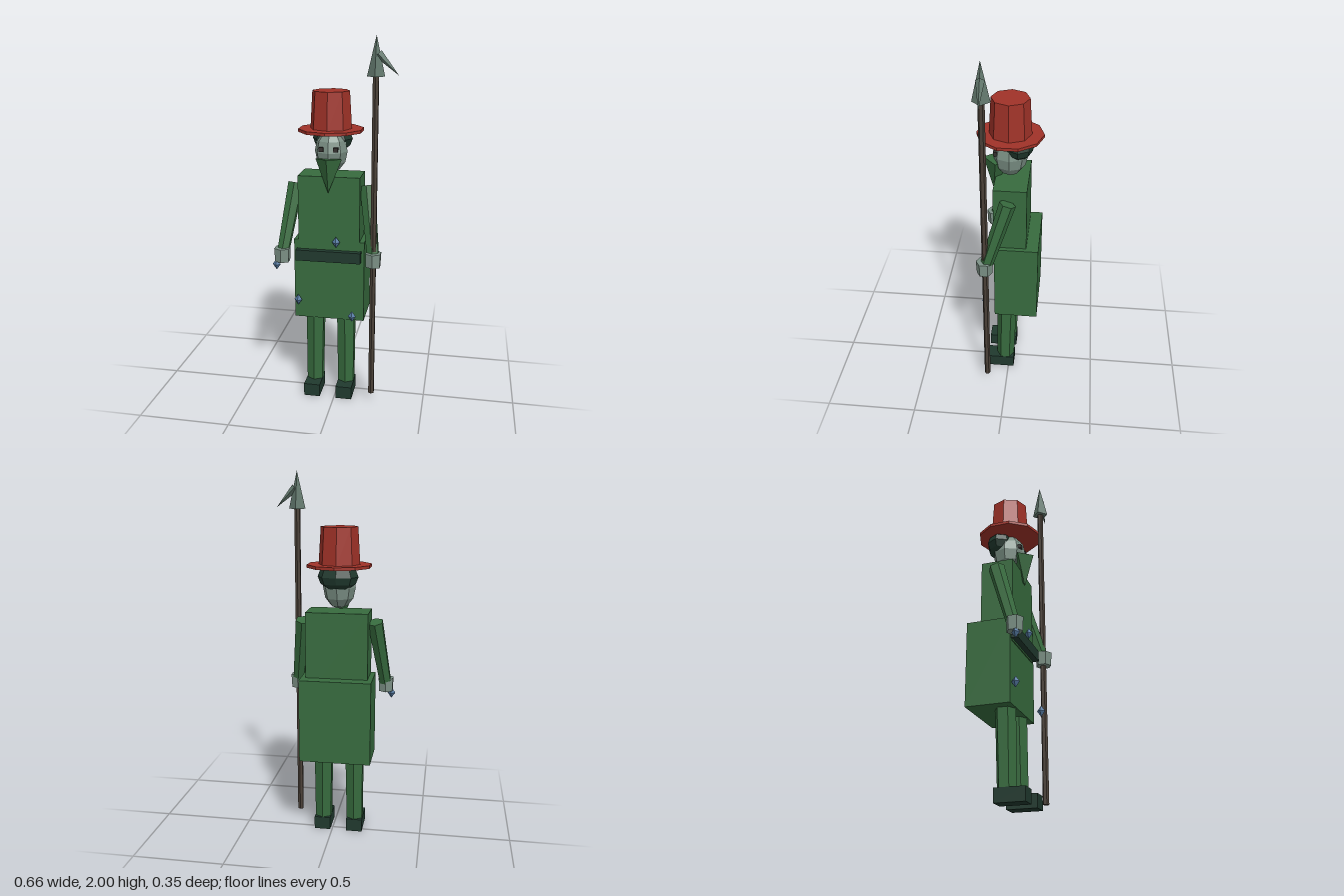
import * as THREE from 'three';

const CX = -0.035; // the figure's own middle line

function flat(name, color) {
  const m = new THREE.MeshStandardMaterial({ color, flatShading: true });
  m.name = name;
  return m;
}

export function createModel() {
  const model = new THREE.Group();
  model.name = 'hattedGuard';

  const coat = flat('coatGreen', 0x376b3e);
  const dark = flat('darkGreen', 0x20392e);
  const red = flat('hatRed', 0xa03228);
  const skin = flat('paleSkin', 0x7c9186);
  const steel = flat('spearSteel', 0x62786d);
  const wood = flat('shaftWood', 0x4a4037);
  const eyeDark = flat('eyeDark', 0x33302e);
  const blue = flat('gemBlue', 0x557ba3);

  function add(name, geometry, material, x = 0, y = 0, z = 0) {
    const mesh = new THREE.Mesh(geometry, material);
    mesh.name = name;
    mesh.position.set(x, y, z);
    model.add(mesh);
    return mesh;
  }

  // Box given by its limits on each axis
  function block(name, material, [x0, x1], [y0, y1], [z0, z1]) {
    return add(name, new THREE.BoxGeometry(x1 - x0, y1 - y0, z1 - z0), material,
      (x0 + x1) / 2, (y0 + y1) / 2, (z0 + z1) / 2);
  }

  // Tapered rod running from point a (radius ra) to point b (radius rb)
  function rod(name, material, a, b, ra, rb, sides) {
    const from = new THREE.Vector3(...a), to = new THREE.Vector3(...b);
    const axis = from.clone().sub(to);
    const mesh = add(name, new THREE.CylinderGeometry(ra, rb, axis.length(), sides), material);
    mesh.position.copy(from).add(to).multiplyScalar(0.5);
    mesh.quaternion.setFromUnitVectors(new THREE.Vector3(0, 1, 0), axis.normalize());
    return mesh;
  }

  // Coat and belt
  block('torso', coat, [CX - 0.167, CX + 0.167], [0.8, 1.275], [-0.1, 0.076]);
  block('coatSkirt', coat, [CX - 0.193, CX + 0.193], [0.465, 0.92], [-0.166, 0.071]);
  block('belt', dark, [CX - 0.177, CX + 0.177], [0.81, 0.87], [0.03, 0.108]);

  // Limbs, mirrored about the middle line
  for (const s of [1, -1]) {
    const side = s > 0 ? 'left' : 'right';
    rod(side + 'Leg', coat, [CX + s * 0.087, 0.5, 0.01], [CX + s * 0.09, 0.05, 0.02], 0.056, 0.05, 6);
    block(side + 'Boot', dark, [CX + s * 0.091 - 0.045, CX + s * 0.091 + 0.045], [0, 0.072], [-0.032, 0.128]);
    rod(side + 'Arm', coat, [CX + s * 0.195, 1.217, -0.004], [CX + s * 0.247, 0.85, 0.108], 0.044, 0.034, 6);
    add(side + 'Hand', new THREE.CylinderGeometry(0.046, 0.042, 0.075, 6), skin, CX + s * 0.248, 0.844, 0.115);
    add(side + 'Eye', new THREE.BoxGeometry(0.024, 0.022, 0.02), eyeDark, CX + s * 0.038, 1.42, 0.076);
  }

  // Head, hair and pointed beard
  add('head', new THREE.SphereGeometry(1, 8, 6), skin, CX, 1.4, 0).scale.set(0.088, 0.115, 0.092);
  add('hair', new THREE.SphereGeometry(1, 8, 6), dark, CX, 1.46, -0.045).scale.set(0.108, 0.075, 0.08);
  rod('beard', coat, [CX, 1.37, 0.072], [CX, 1.19, 0.09], 0.07, 0, 4);

  // Hat
  add('hatBrim', new THREE.CylinderGeometry(0.174, 0.174, 0.016, 10), red, CX, 1.513, 0);
  add('hatCrown', new THREE.CylinderGeometry(0.099, 0.111, 0.2, 8), red, CX, 1.616, 0);

  // Barbed spear
  rod('spearShaft', wood, [0.212, 1.81, 0.112], [0.212, 0.05, 0.112], 0.017, 0.017, 6);
  add('spearTip', new THREE.ConeGeometry(0.045, 0.198, 4), steel, 0.212, 1.899, 0.112);
  rod('spearBarb', steel, [0.222, 1.91, 0.112], [0.325, 1.806, 0.11], 0.022, 0, 4);

  // Hanging gems
  for (const [x, y, z] of [[0.008, 0.922, 0.095], [-0.205, 0.575, 0.092], [0.102, 0.512, 0.128], [-0.313, 0.79, 0.13]]) {
    add('gem', new THREE.OctahedronGeometry(1), blue, x, y, z).scale.set(0.022, 0.031, 0.022);
  }

  return model;
}
